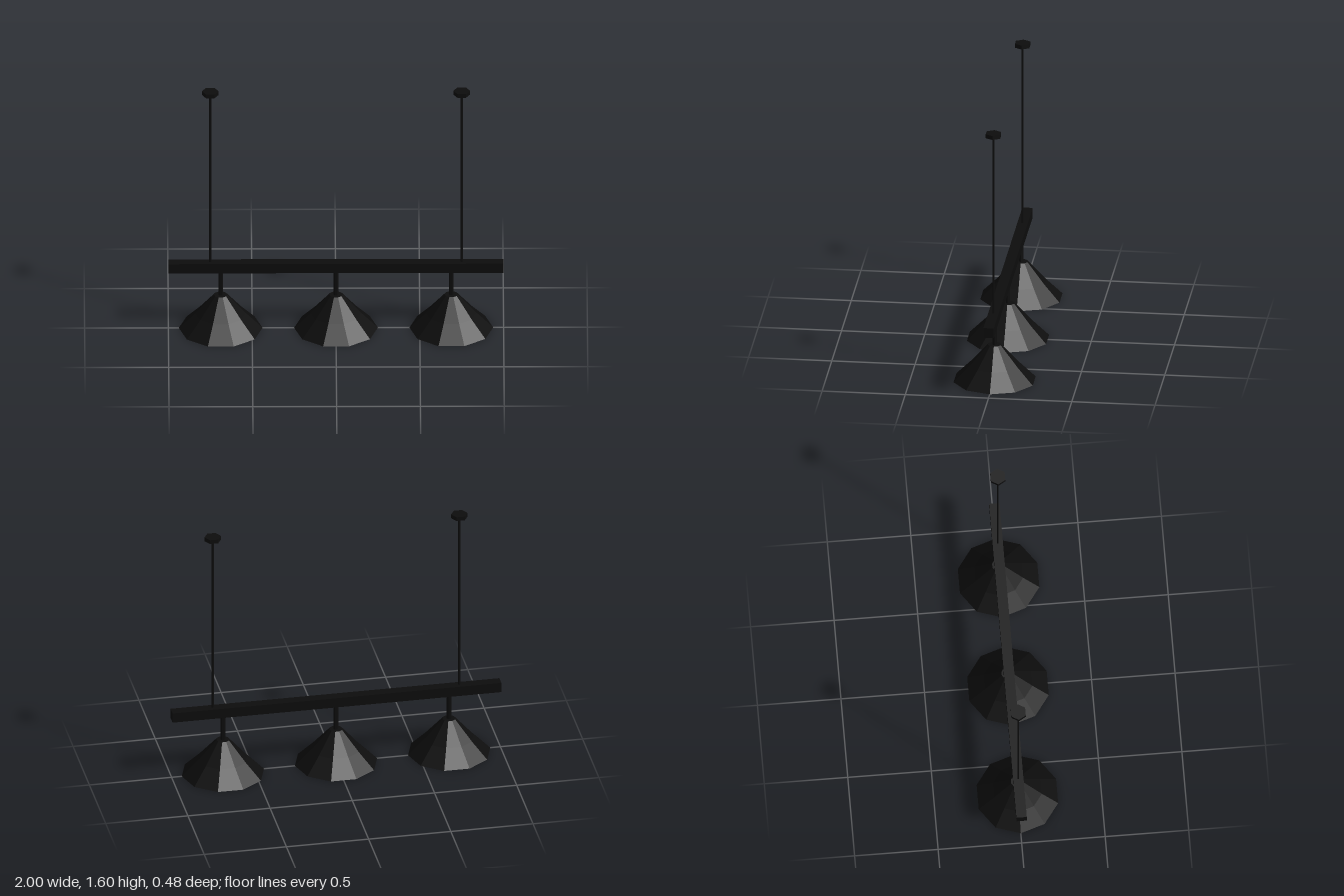
import * as THREE from 'three';

const black = new THREE.MeshStandardMaterial({ color: 0x0d0d0d, flatShading: true, side: THREE.DoubleSide });
black.name = 'matte black';

export function createModel() {
  const model = new THREE.Group();
  model.name = 'pendantLight';

  const add = (parent, name, geometry, x = 0, y = 0) => {
    const mesh = new THREE.Mesh(geometry, black);
    mesh.name = name;
    mesh.position.set(x, y, 0);
    parent.add(mesh);
    return mesh;
  };

  // upright prism from y0 to y1 with corners on the x axis
  const prism = (radius, y0, y1, sides) =>
    new THREE.CylinderGeometry(radius, radius, y1 - y0, sides, 1, false, Math.PI / 2)
      .translate(0, (y0 + y1) / 2, 0);

  // horizontal beam
  add(model, 'beam', new THREE.BoxGeometry(2, 0.062, 0.062), 0, 0.416);

  // suspension cables and ceiling mounts
  for (const side of [-1, 1]) {
    const hanger = new THREE.Group();
    hanger.name = side > 0 ? 'leftHanger' : 'rightHanger';
    hanger.position.x = side * 0.75;
    add(hanger, 'cable', prism(0.0065, 0.447, 1.578, 6));
    add(hanger, 'ceilingMount', prism(0.05, 1.575, 1.6, 6));
    model.add(hanger);
  }

  // three lamps with open ten-sided shades
  const profile = [[0.25, 0], [0.15, 0.1], [0.04, 0.225], [0, 0.225]]
    .map(([r, y]) => new THREE.Vector2(r, y));
  const shade = new THREE.LatheGeometry(profile, 10, Math.PI / 2);
  ['rightLamp', 'middleLamp', 'leftLamp'].forEach((name, i) => {
    const lamp = new THREE.Group();
    lamp.name = name;
    lamp.position.x = (i - 1) * 0.688;
    add(lamp, 'shade', shade);
    add(lamp, 'stem', prism(0.0145, 0.222, 0.39, 6));
    add(lamp, 'bulbHolder', prism(0.065, 0.12, 0.175, 10));
    model.add(lamp);
  });

  return model;
}
